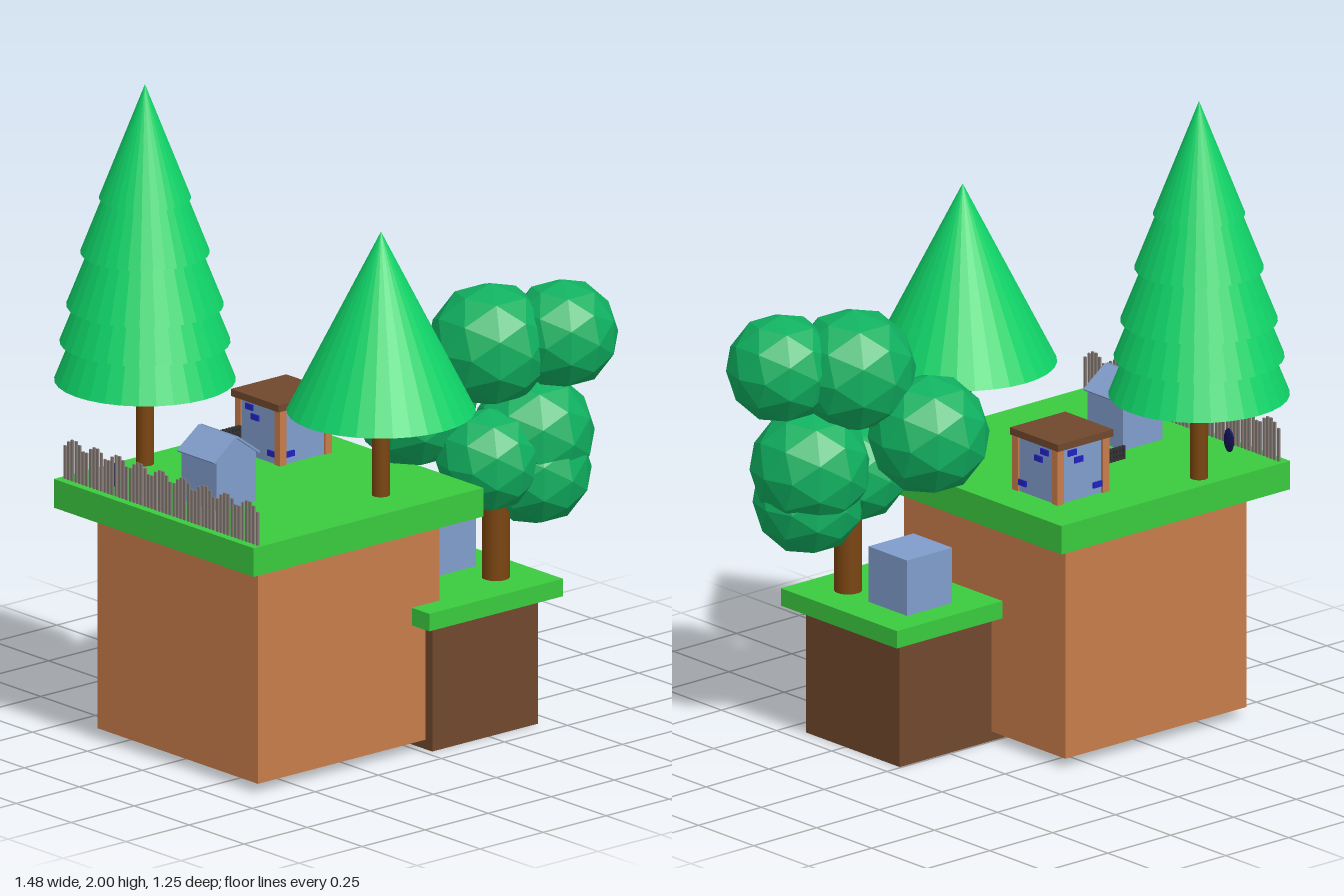
import * as THREE from 'three';

const paint = (color, extra = {}) => new THREE.MeshStandardMaterial({ color, ...extra });

export function createModel() {
  const island = new THREE.Group();
  island.name = 'floatingIslands';

  const clay = paint(0xc87d4a), soil = paint(0x70482c), grass = paint(0x3acb3f);
  const bark = paint(0x7a4510), wall = paint(0x809dcb), blue = paint(0x2222c0);
  const leaf = paint(0x10d468, { flatShading: true });
  const foliage = paint(0x10b060, { flatShading: true });
  const slatPaint = paint(0x857a74), dark = paint(0x333333), navy = paint(0x15155a);

  const group = (name, parent = island) => {
    const g = new THREE.Group();
    g.name = name;
    parent.add(g);
    return g;
  };
  const add = (parent, name, geometry, material, x = 0, y = 0, z = 0) => {
    const m = new THREE.Mesh(geometry, material);
    m.name = name;
    m.position.set(x, y, z);
    parent.add(m);
    return m;
  };
  // Box given by its limits on each axis
  const block = (parent, name, material, [x0, x1], [y0, y1], [z0, z1]) =>
    add(parent, name, new THREE.BoxGeometry(x1 - x0, y1 - y0, z1 - z0), material,
      (x0 + x1) / 2, (y0 + y1) / 2, (z0 + z1) / 2);

  // Two ground blocks with overhanging lawns
  block(island, 'upperEarth', clay, [-0.64, 0.08], [0.03, 0.725], [-0.33, 0.4]);
  block(island, 'upperLawn', grass, [-0.735, 0.175], [0.72, 0.81], [-0.42, 0.49]);
  block(island, 'lowerEarth', soil, [0.025, 0.445], [0, 0.405], [0.005, 0.43]);
  block(island, 'lowerLawn', grass, [-0.03, 0.5], [0.4, 0.455], [-0.045, 0.48]);

  // Conifers: tiers are [base height, radius, cone height]
  const conifer = (name, x, z, tiers) => {
    const tree = group(name);
    tree.position.set(x, 0, z);
    add(tree, 'trunk', new THREE.CylinderGeometry(0.027, 0.027, 0.3, 20), bark, 0, 0.95, 0);
    for (const [y, r, h] of tiers)
      add(tree, 'tier', new THREE.ConeGeometry(r, h, 32), leaf, 0, y + h / 2, 0);
  };
  conifer('tallConifer', -0.43, -0.355, [
    [1.075, 0.272, 0.69], [1.195, 0.256, 0.65], [1.31, 0.236, 0.6],
    [1.475, 0.194, 0.5], [1.645, 0.138, 0.355],
  ]);
  conifer('shortConifer', -0.1, 0.34, [[1.075, 0.283, 0.56]]);

  // Leafy tree: faceted balls as [x, y, z, radius]
  const leafy = group('leafyTree');
  add(leafy, 'trunk', new THREE.CylinderGeometry(0.042, 0.042, 0.4, 20), bark, 0.36, 0.65, 0.335);
  for (const [x, y, z, r] of [
    [0.382, 1.17, 0.285, 0.19], [0.573, 1.19, 0.395, 0.168], [0.51, 0.88, 0.335, 0.185],
    [0.33, 0.83, 0.337, 0.16], [0.5, 0.77, 0.355, 0.17], [0.22, 0.97, 0.13, 0.185],
  ]) add(leafy, 'leafBall', new THREE.IcosahedronGeometry(r, 1), foliage, x, y, z);

  // Gabled shed, extruded front to back, with two thin roof slabs
  const shed = group('gabledShed');
  const gable = new THREE.Shape([[-0.078, 0], [0.078, 0], [0.078, 0.155], [0, 0.212], [-0.078, 0.155]]
    .map(([x, y]) => new THREE.Vector2(x, y)));
  add(shed, 'walls', new THREE.ExtrudeGeometry(gable, { depth: 0.16, bevelEnabled: false }), wall,
    -0.5, 0.81, -0.02);
  for (const s of [-1, 1]) {
    const slab = add(shed, 'roofSlab', new THREE.BoxGeometry(0.108, 0.007, 0.17), wall,
      -0.5 + s * 0.046, 0.994, 0.06);
    slab.rotation.z = -s * 0.63;
  }

  // Flat-roofed cabin with corner posts and small blue blocks
  const cabin = group('cabin');
  const cx = -0.042, cz = -0.17;
  block(cabin, 'walls', wall, [-0.14, 0.055], [0.81, 0.985], [-0.265, -0.075]);
  block(cabin, 'roof', soil, [-0.155, 0.065], [0.983, 1.005], [-0.28, -0.062]);
  for (const sx of [-1, 1]) for (const sz of [-1, 1])
    add(cabin, 'cornerPost', new THREE.BoxGeometry(0.026, 0.175, 0.026), clay,
      cx + sx * 0.09, 0.897, cz + sz * 0.09);
  for (const [offset, y] of [[0.04, 0.963], [0.014, 0.936], [-0.06, 0.84]])
    for (const s of [-1, 1]) {
      add(cabin, 'blueBlock', new THREE.BoxGeometry(0.034, 0.018, 0.008), blue, cx + offset, y, cz + s * 0.097);
      add(cabin, 'blueBlock', new THREE.BoxGeometry(0.008, 0.018, 0.034), blue, cx + s * 0.099, y, cz - offset);
    }

  // Plain hut on the lower lawn
  block(island, 'lowerHut', wall, [0.205, 0.385], [0.45, 0.63], [0.04, 0.215]);

  // Fence of thin slats with scalloped tops
  const fence = group('fence');
  const slats = 54;
  for (let i = 0; i < slats; i++) {
    const h = 0.095 + 0.035 * Math.sin(Math.PI * ((i % 6) + 0.5) / 6);
    add(fence, 'slat', new THREE.BoxGeometry(0.006, h, 0.009), slatPaint,
      -0.707, 0.81 + h / 2, -0.4 + (i / (slats - 1)) * 0.875);
  }

  // Small grille and upright blade among the trees
  const grille = group('grille');
  for (let i = 0; i < 7; i++)
    add(grille, 'bar', new THREE.BoxGeometry(0.007, 0.042, 0.01), dark, -0.257 + i * 0.0125, 0.892, -0.21);
  for (const y of [0.875, 0.892, 0.909])
    add(grille, 'rail', new THREE.BoxGeometry(0.08, 0.006, 0.008), dark, -0.22, y, -0.21);
  const blade = add(island, 'blade', new THREE.SphereGeometry(0.038, 12, 8), navy, -0.65, 0.848, -0.24);
  blade.scale.set(0.18, 1, 0.6);

  return island;
}
